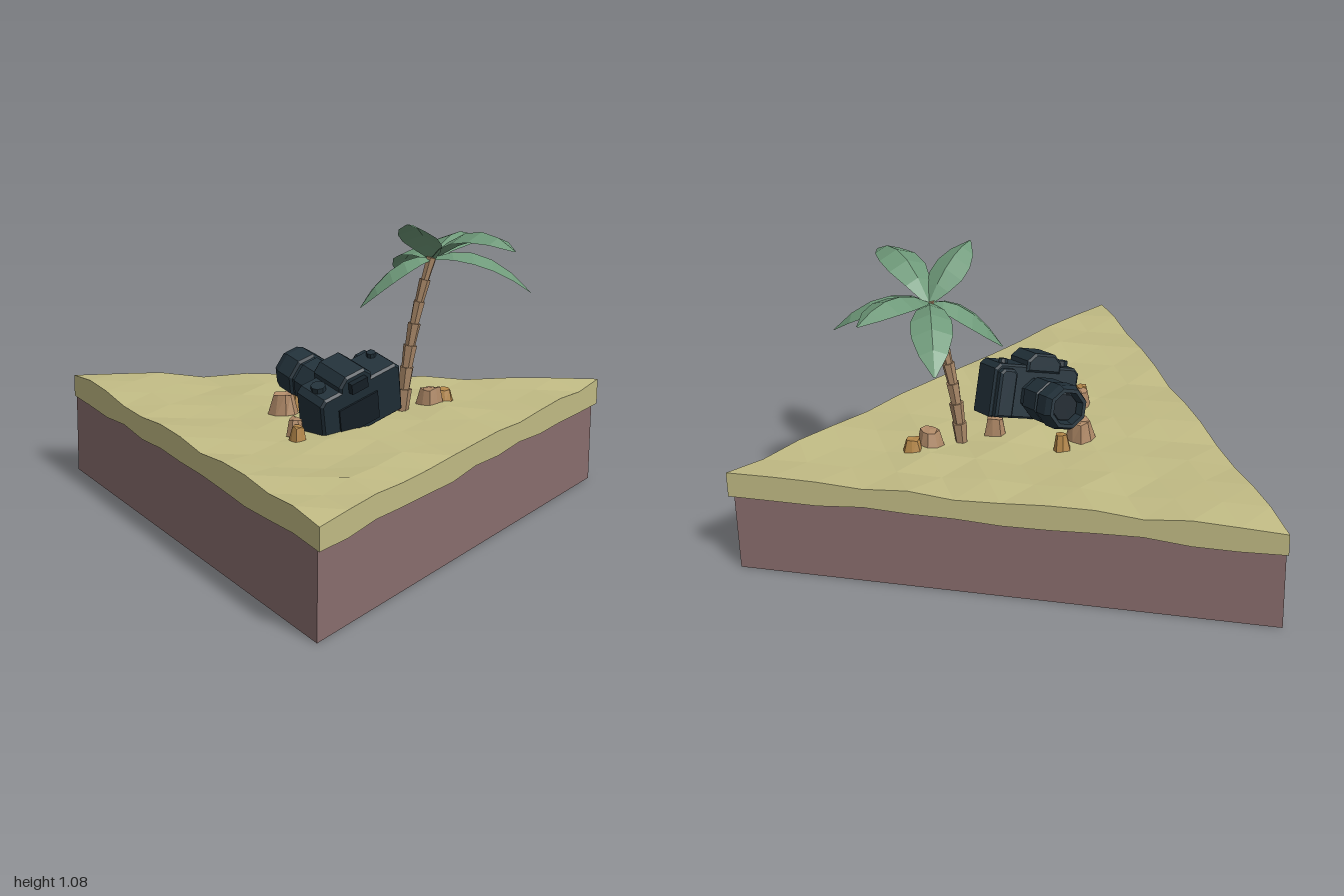
import * as THREE from 'three';

const mat = (color, side = THREE.FrontSide) =>
  new THREE.MeshStandardMaterial({ color, flatShading: true, side });
const SAND = mat(0xc2bc85), EARTH = mat(0x8a6e6e), BODY = mat(0x22313a), DARK = mat(0x17222a);
const BARK = mat(0xa98868), LEAF = mat(0x6f9a7a, THREE.DoubleSide);
const ROCK = mat(0xb08a68), ROCK2 = mat(0xb5884a);

const hash = (a, b) => {
  const s = Math.sin(a * 127.1 + b * 311.7) * 43758.5453;
  return s - Math.floor(s);
};

function add(parent, name, geo, material, x = 0, y = 0, z = 0) {
  const m = new THREE.Mesh(geo, material);
  m.name = name;
  m.position.set(x, y, z);
  parent.add(m);
  return m;
}

function fromTriangles(points) {
  const g = new THREE.BufferGeometry().setFromPoints(points);
  g.computeVertexNormals();
  return g;
}

// Triangular sand slab with an uneven top and ragged lower rim
function sandGeometry() {
  const N = 12, out = [];
  const point = (i, j, base, amp, seed) => new THREE.Vector3(
    -0.87 + 1.725 * i / N,
    base + amp * (hash(i + seed, j + seed * 2) - 0.5),
    -i / N + 2 * j / N);
  const top = (i, j) => point(i, j, 0.382, 0.022, 3);
  const low = (i, j) => point(i, j, 0.297, 0.022, 8);
  for (let i = 0; i < N; i++) {
    for (let j = 0; j <= i; j++) {
      out.push(top(i, j), top(i + 1, j + 1), top(i + 1, j));
      out.push(low(i, j), low(i + 1, j), low(i + 1, j + 1));
      if (j < i) {
        out.push(top(i, j), top(i, j + 1), top(i + 1, j + 1));
        out.push(low(i, j), low(i + 1, j + 1), low(i, j + 1));
      }
    }
  }
  const rim = [];
  for (let k = 0; k < N; k++) rim.push([k, 0]);
  for (let k = 0; k < N; k++) rim.push([N, k]);
  for (let k = N; k > 0; k--) rim.push([k, k]);
  rim.forEach((p, k) => {
    const q = rim[(k + 1) % rim.length];
    out.push(top(...p), top(...q), low(...q), top(...p), low(...q), low(...p));
  });
  return fromTriangles(out);
}

// Folded frond: a ridge with two drooping halves, following an arc
function frondGeometry(base, tip, rise) {
  const mid = base.clone().lerp(tip, 0.5);
  mid.y += rise * 2;
  const curve = new THREE.QuadraticBezierCurve3(base, mid, tip);
  const side = new THREE.Vector3(tip.z - base.z, 0, base.x - tip.x).normalize();
  const widths = [0.012, 0.05, 0.073, 0.072, 0.05, 0.004];
  const rows = widths.map((w, k) => {
    const c = curve.getPoint(k / (widths.length - 1));
    const edge = s => c.clone().addScaledVector(side, s * w).add(new THREE.Vector3(0, -0.4 * w, 0));
    return [edge(-1), c, edge(1)];
  });
  const out = [];
  for (let k = 0; k < rows.length - 1; k++) {
    for (let s = 0; s < 2; s++) {
      const a = rows[k][s], b = rows[k][s + 1], c = rows[k + 1][s + 1], d = rows[k + 1][s];
      out.push(a, b, c, a, c, d);
    }
  }
  return fromTriangles(out);
}

function palm() {
  const g = new THREE.Group();
  g.name = 'palmTree';
  const path = new THREE.QuadraticBezierCurve3(
    new THREE.Vector3(0.425, 0.37, -0.26),
    new THREE.Vector3(0.435, 0.65, -0.27),
    new THREE.Vector3(0.5, 0.925, -0.315));
  // Trunk of flared, stacked sections
  const n = 7;
  for (let k = 0; k < n; k++) {
    const a = path.getPoint(k / n), b = path.getPoint((k + 1) / n);
    const dir = b.clone().sub(a), r = 0.028 - 0.0016 * k;
    const m = add(g, 'trunkSection', new THREE.CylinderGeometry(r, r * 0.78, dir.length() * 1.06, 6), BARK);
    m.position.copy(a).lerp(b, 0.5);
    m.quaternion.setFromUnitVectors(new THREE.Vector3(0, 1, 0), dir.normalize());
    m.rotateY(k * 0.4);
  }
  // Fronds: tip x, y, z and arch height
  const crown = new THREE.Vector3(0.5, 0.925, -0.32);
  [
    [0.51, 0.94, -0.65, 0.06], [0.24, 0.80, -0.55, 0.07], [0.79, 0.80, -0.52, 0.07],
    [0.87, 1.0, -0.22, 0.08], [0.53, 1.08, -0.08, 0.035], [0.31, 0.755, -0.15, 0.06],
  ].forEach(([x, y, z, rise]) =>
    add(g, 'frond', frondGeometry(crown, new THREE.Vector3(x, y, z), rise), LEAF));
  return g;
}

// Box shape with cut corners, extruded along z
function chamferBox(w, h, d, c) {
  const x = w / 2, y = h / 2;
  const s = new THREE.Shape([
    [-x, -y], [x, -y], [x, y - c], [x - c, y], [-x + c, y], [-x, y - c],
  ].map(p => new THREE.Vector2(...p)));
  const b = 0.008;
  return new THREE.ExtrudeGeometry(s, {
    depth: d - 2 * b, bevelThickness: b, bevelSize: b, bevelOffset: -b, bevelSegments: 1,
  }).translate(0, 0, -d / 2 + b);
}

// Half-buried camera, lens along local +z
function camera() {
  const g = new THREE.Group();
  g.name = 'camera';
  g.position.set(0.39, 0.48, 0.05);
  g.rotation.set(-0.22, -1.885, -0.29, 'YXZ');
  add(g, 'cameraBody', chamferBox(0.35, 0.2, 0.14, 0.02), BODY);
  add(g, 'grip', chamferBox(0.07, 0.18, 0.04, 0.015), BODY, -0.13, -0.005, 0.08);
  // Viewfinder hump and eyepiece
  add(g, 'viewfinderHump', chamferBox(0.14, 0.07, 0.15, 0.03), BODY, 0.02, 0.112, 0.005);
  add(g, 'eyepiece', new THREE.BoxGeometry(0.07, 0.04, 0.02), DARK, 0.02, 0.105, -0.08);
  add(g, 'screen', new THREE.BoxGeometry(0.17, 0.11, 0.008), DARK, 0.02, -0.02, -0.072);
  add(g, 'dial', new THREE.CylinderGeometry(0.026, 0.026, 0.022, 8), BODY, 0.13, 0.108, 0);
  add(g, 'shutterButton', new THREE.CylinderGeometry(0.016, 0.018, 0.018, 8), BODY, -0.13, 0.106, 0.03);
  // Lens barrel with rings and a recessed front
  const profile = [
    [0.072, 0.05], [0.072, 0.1], [0.083, 0.108], [0.083, 0.2], [0.077, 0.205], [0.077, 0.215],
    [0.087, 0.222], [0.087, 0.285], [0.076, 0.312], [0.062, 0.312], [0.054, 0.275], [0, 0.283],
  ].map(p => new THREE.Vector2(...p));
  const lens = add(g, 'lens', new THREE.LatheGeometry(profile, 8), BODY, 0.01, -0.012, 0);
  lens.rotation.set(Math.PI / 2, Math.PI / 8, 0);
  const glass = add(g, 'lensGlass', new THREE.CylinderGeometry(0.05, 0.05, 0.006, 8), DARK, 0.01, -0.012, 0.283);
  glass.rotation.set(Math.PI / 2, Math.PI / 8, 0);
  return g;
}

// Chunky stone: a jittered box, corners narrowed at the top
function rockGeometry(w, h, d, seed) {
  const g = new THREE.BoxGeometry(w, h, d, 2, 1, 2).toNonIndexed();
  const p = g.attributes.position;
  for (let i = 0; i < p.count; i++) {
    const x = p.getX(i), y = p.getY(i), z = p.getZ(i);
    const key = Math.round(x / w * 2) * 3 + Math.round(z / d * 2) * 11 + (y > 0 ? 29 : 0);
    const corner = Math.abs(x * z) > 1e-6 ? 0.78 : 1;
    const s = corner * (y > 0 ? 0.72 : 1) * (0.88 + 0.24 * hash(key, seed));
    p.setXYZ(i, x * s, y * (0.8 + 0.4 * hash(seed, key)), z * s);
  }
  g.computeVertexNormals();
  return g;
}

export function createModel() {
  const model = new THREE.Group();
  model.name = 'desertIsland';

  // Ground
  const tri = new THREE.Shape([[-0.86, 0], [0.84, -0.985], [0.84, 0.985]].map(p => new THREE.Vector2(...p)));
  const earth = new THREE.ExtrudeGeometry(tri, { depth: 0.305, bevelEnabled: false }).rotateX(-Math.PI / 2);
  add(model, 'earthBlock', earth, EARTH);
  add(model, 'sand', sandGeometry(), SAND);

  model.add(palm(), camera());

  // Stones: x, z, width, height, depth, material
  [
    [0.11, 0.04, 0.1, 0.08, 0.1, ROCK], [0.11, -0.06, 0.06, 0.06, 0.06, ROCK2],
    [0.29, 0.24, 0.075, 0.06, 0.06, ROCK], [0.33, 0.29, 0.055, 0.05, 0.05, ROCK2],
    [0.37, -0.14, 0.08, 0.07, 0.07, ROCK],
    [0.48, -0.36, 0.09, 0.07, 0.085, ROCK], [0.5, -0.43, 0.065, 0.05, 0.07, ROCK2],
  ].forEach(([x, z, w, h, d, m], k) => {
    add(model, 'stone', rockGeometry(w, h, d, k + 1), m, x, 0.38 + h * 0.4, z).rotation.y = k * 0.9;
  });
  return model;
}
